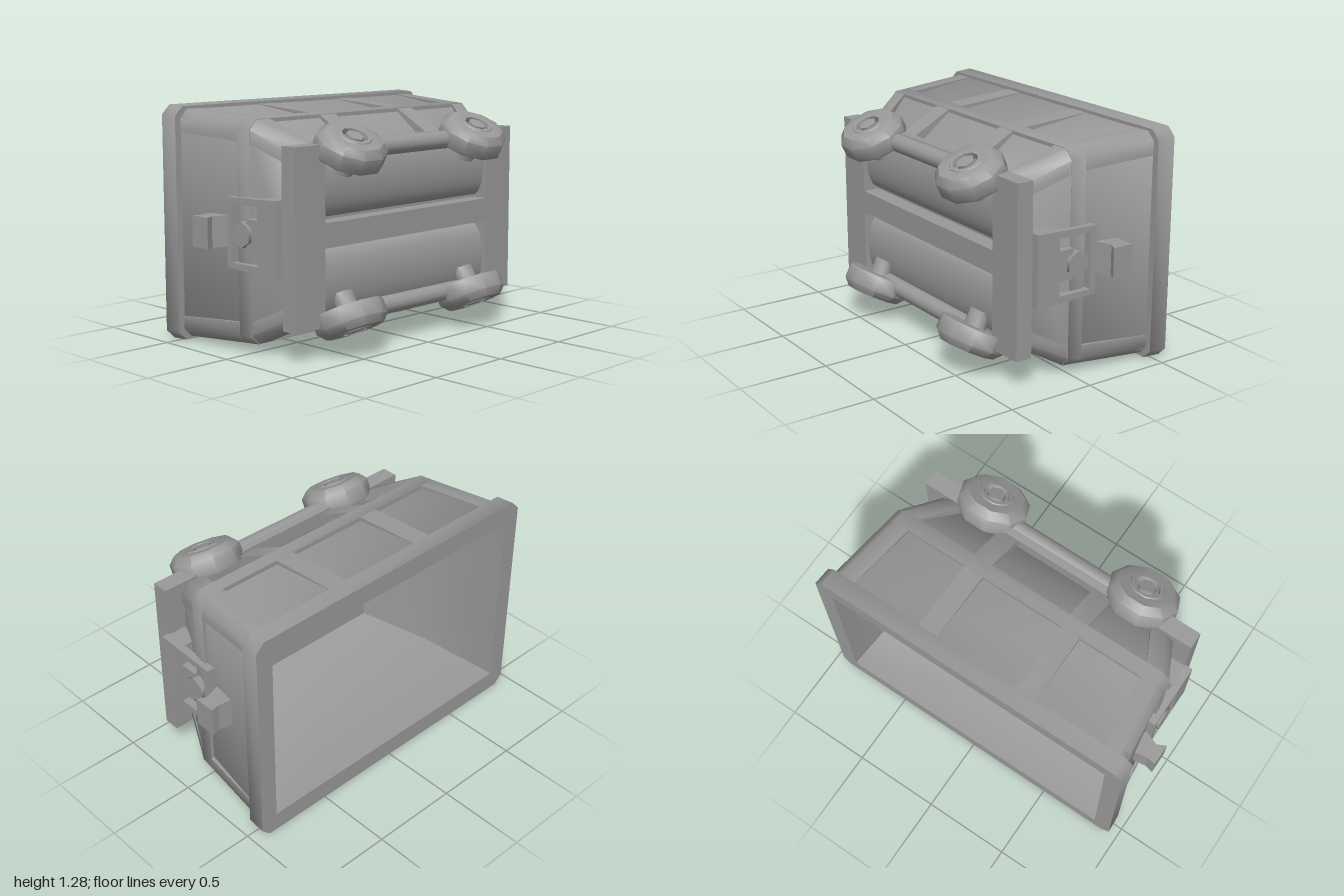
import * as THREE from 'three';
import { toCreasedNormals } from 'three/addons/utils/BufferGeometryUtils.js';

const MID = 0.64; // height of the long axis
const TILT = 0.47; // lean of the wheels
const mat = new THREE.MeshStandardMaterial({ color: 0x999999, side: THREE.DoubleSide });

export function createModel() {
  const model = new THREE.Group();

  function add(name, geometry, x = 0, y = 0, z = 0, parent = model) {
    const mesh = new THREE.Mesh(geometry, mat);
    mesh.name = name;
    mesh.position.set(x, y, z);
    parent.add(mesh);
    return mesh;
  }

  // Skins a list of sections { z, pts }, optionally mirrored in x or y
  function loft(sections, { sx = 1, sy = 1, start = true, end = true } = {}) {
    const n = sections[0].pts.length;
    const pos = [];
    const index = [];
    const tri = (a, b, c) => (sx * sy > 0 ? index.push(a, b, c) : index.push(a, c, b));
    for (const s of sections) for (const [x, y] of s.pts) pos.push(x * sx, y * sy, s.z);
    for (let k = 0; k < sections.length - 1; k++) {
      for (let i = 0; i < n; i++) {
        const a = k * n + i;
        const b = k * n + ((i + 1) % n);
        tri(a, a + n, b);
        tri(b, a + n, b + n);
      }
    }
    const last = (sections.length - 1) * n;
    for (let i = 1; i < n - 1; i++) {
      if (start) tri(0, i, i + 1);
      if (end) tri(last, last + i + 1, last + i);
    }
    const g = new THREE.BufferGeometry();
    g.setAttribute('position', new THREE.Float32BufferAttribute(pos, 3));
    g.setIndex(index);
    return toCreasedNormals(g, 0.82);
  }

  // Rectangle with cut corners
  const ring = (z, hx, hy, c) => ({
    z,
    pts: [
      [hx, -hy + c], [hx, hy - c], [hx - c, hy], [-hx + c, hy],
      [-hx, hy - c], [-hx, -hy + c], [-hx + c, -hy], [hx - c, -hy],
    ],
  });
  const rect = (z, hx, hy) => ({ z, pts: [[hx, -hy], [hx, hy], [-hx, hy], [-hx, -hy]] });

  // Tub: bottom, panels sunk between the ribs and fading out at the thick rim
  add('tub', loft([
    ring(0.27, 0.735, 0.39, 0.03),
    ring(0.035, 0.855, 0.57, 0.04),
    ring(-0.05, 0.845, 0.57, 0.04),
    ring(-0.46, 0.907, 0.617, 0.04),
    ring(-0.46, 0.945, 0.635, 0.05),
    ring(-0.565, 0.95, 0.64, 0.05),
    ring(-0.565, 0.85, 0.53, 0.003),
  ], { end: false }), 0, MID);

  // Hopper-shaped inside
  add('tubInside', loft([
    rect(-0.565, 0.85, 0.53),
    rect(-0.06, 0.815, 0.535),
    rect(0.225, 0.57, 0.37),
  ], { start: false }), 0, MID);

  // Band around the bend of the wall
  add('waistBand', loft([
    ring(0.035, 0.857, 0.59, 0.05),
    ring(-0.05, 0.865, 0.595, 0.05),
    ring(-0.05, 0.835, 0.555, 0.02),
    ring(0.035, 0.835, 0.555, 0.02),
    ring(0.035, 0.857, 0.59, 0.05),
  ], { start: false, end: false }), 0, MID);

  // Corner posts and ribs follow the hull: z, half length, half height, depth
  const hull = [[0.27, 0.745, 0.46, 0.09], [0.03, 0.857, 0.59, 0.04], [-0.05, 0.865, 0.595, 0.04], [-0.46, 0.91, 0.62, 0.04]];
  const corner = hull.map(([z, hx, hy, d]) => ({
    z,
    pts: [
      [hx - 0.022, hy - d], [hx - 0.022, hy - 0.12], [hx, hy - 0.12], [hx, hy - 0.05],
      [hx - 0.05, hy], [hx - 0.14, hy], [hx - 0.14, hy - d],
    ],
  }));
  const rib = hull.map(([z, , hy, d]) => ({
    z,
    pts: [[0.245, hy - d], [0.36, hy - d], [0.36, hy], [0.245, hy]],
  }));
  for (const sx of [1, -1]) {
    for (const sy of [1, -1]) {
      add('cornerPost', loft(corner, { sx, sy }), 0, MID);
      add('sideRib', loft(rib, { sx, sy }), 0, MID);
    }
  }

  // Undercarriage: centre beam, end plates, rounded belly, rails and wheel rods
  const bellyGeo = new THREE.CylinderGeometry(0.18, 0.18, 1.28, 24, 1, true, -Math.PI / 2, Math.PI)
    .rotateZ(Math.PI / 2).scale(1, 1, 0.4);
  const rodGeo = new THREE.CylinderGeometry(0.05, 0.05, 0.95, 12).rotateZ(Math.PI / 2);
  add('centreBeam', new THREE.BoxGeometry(1.32, 0.13, 0.095), 0, MID + 0.005, 0.3175);
  for (const s of [1, -1]) {
    add('endPlate', new THREE.BoxGeometry(0.21, 0.945, 0.095), s * 0.745, MID, 0.3175);
    add('belly', bellyGeo, 0, MID + s * 0.265, 0.27);
    add('sideRail', new THREE.BoxGeometry(1.3, 0.09, 0.045), 0, MID + s * 0.43, 0.2925);
    add('wheelRod', rodGeo, 0, MID + s * 0.43, 0.343);
  }

  // Leaning wheels with an inner stub and a hub ring around a nut
  const profile = [
    [0, -0.15], [0.065, -0.15], [0.065, -0.065], [0.2, -0.065], [0.205, -0.055], [0.205, 0.022],
    [0.165, 0.062], [0.1, 0.062], [0.095, 0.068], [0.075, 0.068], [0.07, 0.035], [0, 0.035],
  ].map(([r, y]) => new THREE.Vector2(r, y));
  const wheelGeo = toCreasedNormals(new THREE.LatheGeometry(profile, 10).rotateY(Math.PI / 2).scale(1, 1, 0.9), 0.82);
  const nutGeo = new THREE.CylinderGeometry(0.05, 0.055, 0.05, 6);
  for (const sx of [1, -1]) {
    for (const sy of [1, -1]) {
      const wheel = new THREE.Group();
      wheel.name = 'wheel';
      wheel.position.set(sx * 0.482, MID + sy * 0.453, 0.392);
      wheel.rotation.x = sy > 0 ? TILT : Math.PI - TILT;
      add('tyre', wheelGeo, 0, 0, 0, wheel);
      add('hubNut', nutGeo, 0, 0.042, 0, wheel);
      model.add(wheel);
    }
  }

  // End brackets: windowed plate on a foot, with pin and flared coupling
  const poly = (P, pts) => new P(pts.map(([z, y]) => new THREE.Vector2(-z, y)));
  const plate = poly(THREE.Shape, [[0.27, -0.2], [0.27, 0.2], [-0.105, 0.185], [-0.105, -0.185]]);
  plate.holes.push(poly(THREE.Path, [[0.13, -0.155], [-0.07, -0.155], [-0.07, 0.155], [0.13, 0.155]]));
  const plateGeo = new THREE.ExtrudeGeometry(plate, { depth: 0.045, bevelEnabled: false })
    .rotateY(Math.PI / 2).translate(-0.0225, 0, 0);
  const pinGeo = new THREE.CylinderGeometry(0.07, 0.07, 0.07, 6).rotateY(Math.PI / 6).rotateZ(Math.PI / 2);
  const coupling = poly(THREE.Shape, [[0.13, 0.86], [0.265, 0.86], [0.25, 0.95], [0.26, 1], [0.135, 1], [0.16, 0.95]]);
  const couplingGeo = new THREE.ExtrudeGeometry(coupling, { depth: 0.165, bevelEnabled: false })
    .translate(0, 0, -0.0825).rotateX(-Math.PI / 2).rotateY(-Math.PI / 2);
  for (const s of [1, -1]) {
    add('bracketPlate', plateGeo, s * 0.872, MID, 0);
    add('bracketFoot', new THREE.BoxGeometry(0.11, 0.39, 0.13), s * 0.805, MID, 0.2);
    add('couplingPin', pinGeo, s * 0.865, MID, 0.01);
    add('couplingBlock', new THREE.BoxGeometry(0.06, 0.165, 0.12), s * 0.85, MID, 0.09);
    add('coupling', couplingGeo, 0, MID, 0).scale.x = s;
  }
  return model;
}
